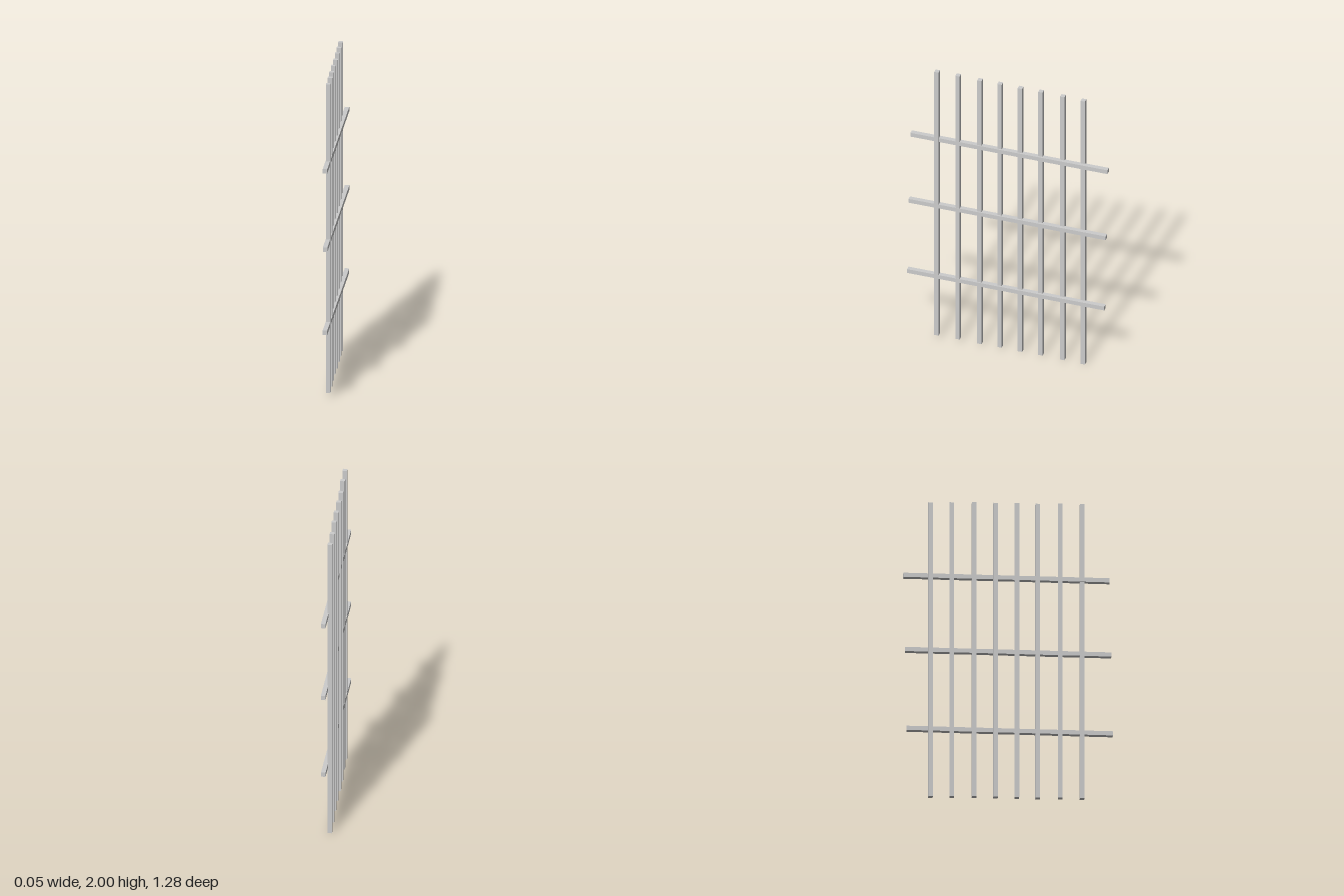
import * as THREE from 'three';

export function createModel() {
  const group = new THREE.Group();
  const material = new THREE.MeshStandardMaterial({ color: 0xcccccc, flatShading: true });
  const T = 0.028; // square bar thickness

  // Upright bars, each slightly shifted: [z, x, bottom y]
  const uprights = [
    [0.453, 0.010, 0.031], [0.32, 0.007, 0.029], [0.182, 0.001, 0.020], [0.055, -0.002, 0.019],
    [-0.075, -0.002, 0.016], [-0.205, -0.005, 0.015], [-0.342, -0.011, 0.006], [-0.472, -0.014, 0],
  ];
  const uprightGeometry = new THREE.BoxGeometry(T, 1.969, T);
  uprights.forEach(([z, x, bottom], i) => {
    const bar = new THREE.Mesh(uprightGeometry, material);
    bar.name = `uprightBar${i + 1}`;
    bar.position.set(x, bottom + 1.969 / 2, z);
    group.add(bar);
  });

  // Cross rails, tilted very slightly down toward the back: [y, z, x]
  const rails = [[0.467, 0.012, 0.009], [0.995, 0.003, 0.009], [1.491, -0.008, 0.007]];
  const railGeometry = new THREE.BoxGeometry(T, T, 1.256);
  rails.forEach(([y, z, x], i) => {
    const rail = new THREE.Mesh(railGeometry, material);
    rail.name = `crossRail${i + 1}`;
    rail.position.set(x, y, z);
    rail.rotation.x = -0.005;
    group.add(rail);
  });

  return group;
}
